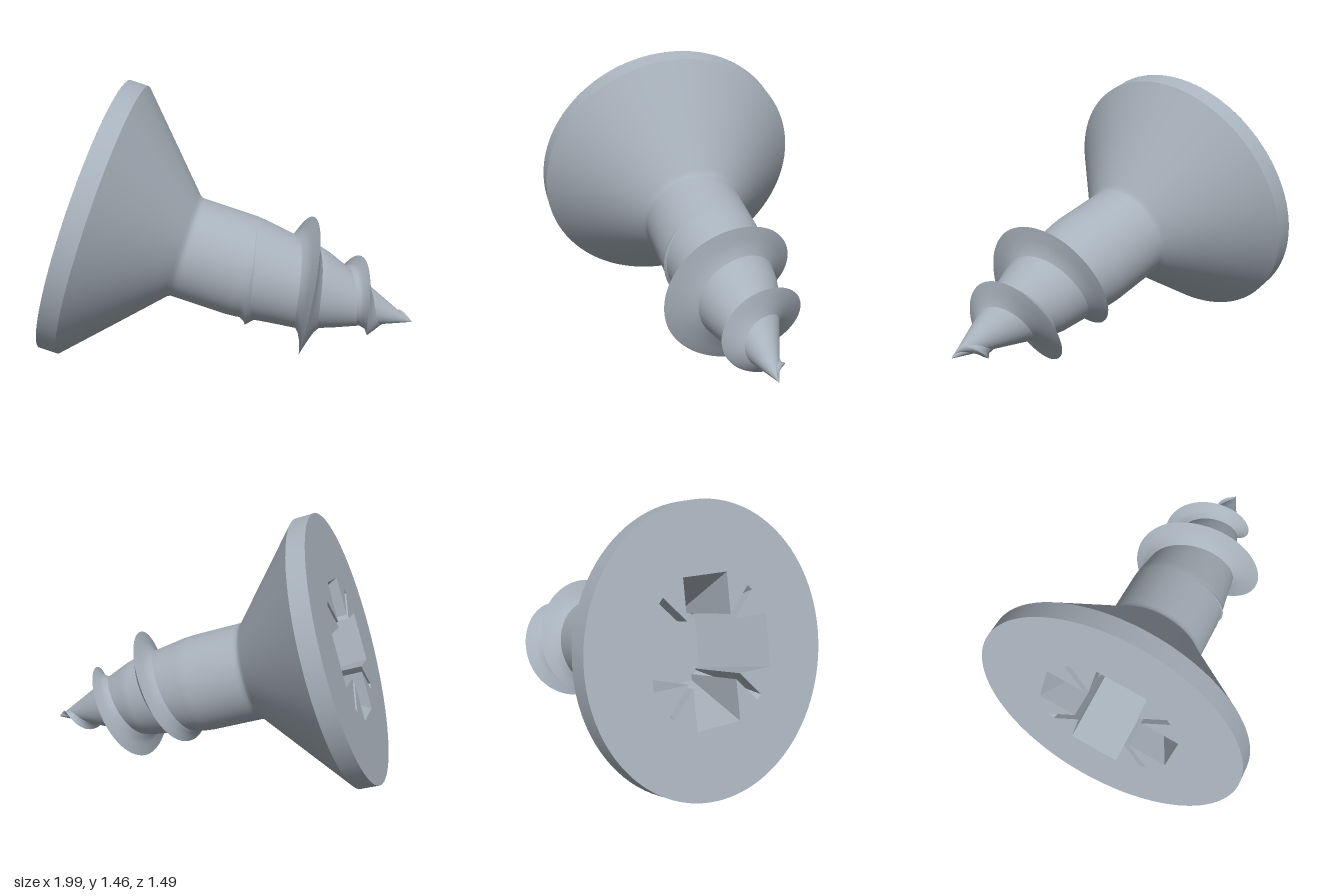
import * as THREE from 'three';

// Piecewise-linear lookup in a list of [t, value] pairs
function lookup(table, t) {
  if (t <= table[0][0]) return table[0][1];
  for (let i = 1; i < table.length; i++) {
    const [t0, v0] = table[i - 1], [t1, v1] = table[i];
    if (t <= t1) return v0 + (v1 - v0) * (t - t0) / (t1 - t0);
  }
  return table[table.length - 1][1];
}

// Tapered core and thread crest radii, by distance along the axis
const CORE = [[0.554, 0.277], [0.87, 0.277], [0.92, 0.273], [1.116, 0.246], [1.25, 0.23],
  [1.3, 0.217], [1.445, 0.163], [1.57, 0.112], [1.845, 0]];
const CREST = [[0.86, 0.272], [0.95, 0.284], [1.025, 0.311], [1.08, 0.341], [1.14, 0.368], [1.2, 0.377],
  [1.27, 0.372], [1.338, 0.345], [1.42, 0.287], [1.508, 0.232], [1.591, 0.172], [1.669, 0.118],
  [1.75, 0.066], [1.83, 0.008]];
const PITCH = 0.325, TOP_CREST = 1.175;

// Grid surface from rows of points
function gridGeometry(rows) {
  const n = rows[0].length, index = [];
  for (let i = 0; i < rows.length - 1; i++) {
    for (let j = 0; j < n - 1; j++) {
      const a = i * n + j, b = a + n;
      index.push(a, b, b + 1, a, b + 1, a + 1);
    }
  }
  const g = new THREE.BufferGeometry();
  g.setAttribute('position', new THREE.Float32BufferAttribute(rows.flat(2), 3));
  g.setIndex(index);
  g.computeVertexNormals();
  return g;
}

// One flank of the helical thread; side is -1 (towards head) or 1 (towards tip)
function threadFlank(side) {
  const rows = [], steps = 300;
  for (let i = 0; i <= steps; i++) {
    const t = 0.86 + (1.83 - 0.86) * i / steps;
    const angle = (t - TOP_CREST) / PITCH * Math.PI * 2;
    const crest = lookup(CREST, t), h = Math.max(0, crest - lookup(CORE, t));
    const w = Math.min(0.065, 0.015 + h);
    const section = [
      [1, lookup(CORE, t + side * w) - 0.006],
      [0.6, lookup(CORE, t + side * w * 0.6) + h * 0.18],
      [0.3, lookup(CORE, t) + h * 0.52],
      [0, crest],
    ].map(([k, r]) => {
      const rr = Math.max(r, 0);
      return [-Math.cos(angle) * rr, t + side * k * w, Math.sin(angle) * rr];
    });
    rows.push(side < 0 ? section : section.reverse());
  }
  return gridGeometry(rows);
}

// Cross outline with a thin diagonal slit in each inner corner
function crossOutline(end, slit) {
  const a = 0.14, s = 0.026, c = 0.013;
  const quarter = [[end, -a], [end, a], [a + s, a], [slit + c, slit - c], [slit - c, slit + c], [a, a + s]];
  const points = [];
  for (let k = 0; k < 4; k++) {
    for (const [x, y] of quarter) {
      points.push(new THREE.Vector2(x, y).rotateAround(new THREE.Vector2(), k * Math.PI / 2));
    }
  }
  return points;
}

export function createModel() {
  const steel = new THREE.MeshStandardMaterial({ color: 0xa8b2bc, side: THREE.DoubleSide });
  steel.name = 'steel';
  const screw = new THREE.Group();
  screw.name = 'screw';
  const add = (name, geometry) => {
    const mesh = new THREE.Mesh(geometry, steel);
    mesh.name = name;
    screw.add(mesh);
  };
  const lathe = (pairs) => new THREE.LatheGeometry(pairs.map(([t, r]) => new THREE.Vector2(r, t)), 96);

  // Head rim, then countersunk cone running smoothly into the shank and tip
  add('headRim', lathe([[0, 0.75], [0.1, 0.75]]));
  add('headConeAndShank', lathe([[0.1, 0.75], [0.32, 0.52], [0.53, 0.3], [0.545, 0.285],
    [0.56, 0.277], [0.58, 0.277], ...CORE.slice(1)]));

  // Head face with the drive recess cut out
  const top = crossOutline(0.38, 0.285), bottom = crossOutline(0.2, 0.165), depth = 0.36;
  const face = new THREE.Shape().absarc(0, 0, 0.75, 0, Math.PI * 2);
  face.holes.push(new THREE.Path(top.slice().reverse()));
  add('headFace', new THREE.ShapeGeometry(face, 96).rotateX(Math.PI / 2));

  // Sloping recess walls with sharp corners, and the recess floor
  const walls = [];
  top.forEach((p, i) => {
    const j = (i + 1) % top.length, q = top[j], pb = bottom[i], qb = bottom[j];
    walls.push(p.x, 0, p.y, q.x, 0, q.y, qb.x, depth, qb.y);
    walls.push(p.x, 0, p.y, qb.x, depth, qb.y, pb.x, depth, pb.y);
  });
  const wallGeometry = new THREE.BufferGeometry();
  wallGeometry.setAttribute('position', new THREE.Float32BufferAttribute(walls, 3));
  wallGeometry.computeVertexNormals();
  add('recessWalls', wallGeometry);
  const floor = new THREE.ShapeGeometry(new THREE.Shape(bottom)).rotateX(Math.PI / 2);
  add('recessFloor', floor.translate(0, depth, 0));

  // Helical thread, split at the crest to keep it sharp
  add('threadHeadSide', threadFlank(-1));
  add('threadTipSide', threadFlank(1));

  // Lay the screw along its tilted axis
  const axis = new THREE.Vector3(0.93, -0.31, 0.198).normalize();
  const across = new THREE.Vector3(-0.235, -0.09, 0.965);
  across.addScaledVector(axis, -across.dot(axis)).normalize();
  const third = new THREE.Vector3().crossVectors(axis, across);
  screw.quaternion.setFromRotationMatrix(new THREE.Matrix4().makeBasis(third, axis, across));
  screw.position.set(-0.725, 0.744, -0.007);

  const model = new THREE.Group();
  model.name = 'model';
  model.add(screw);
  return model;
}
